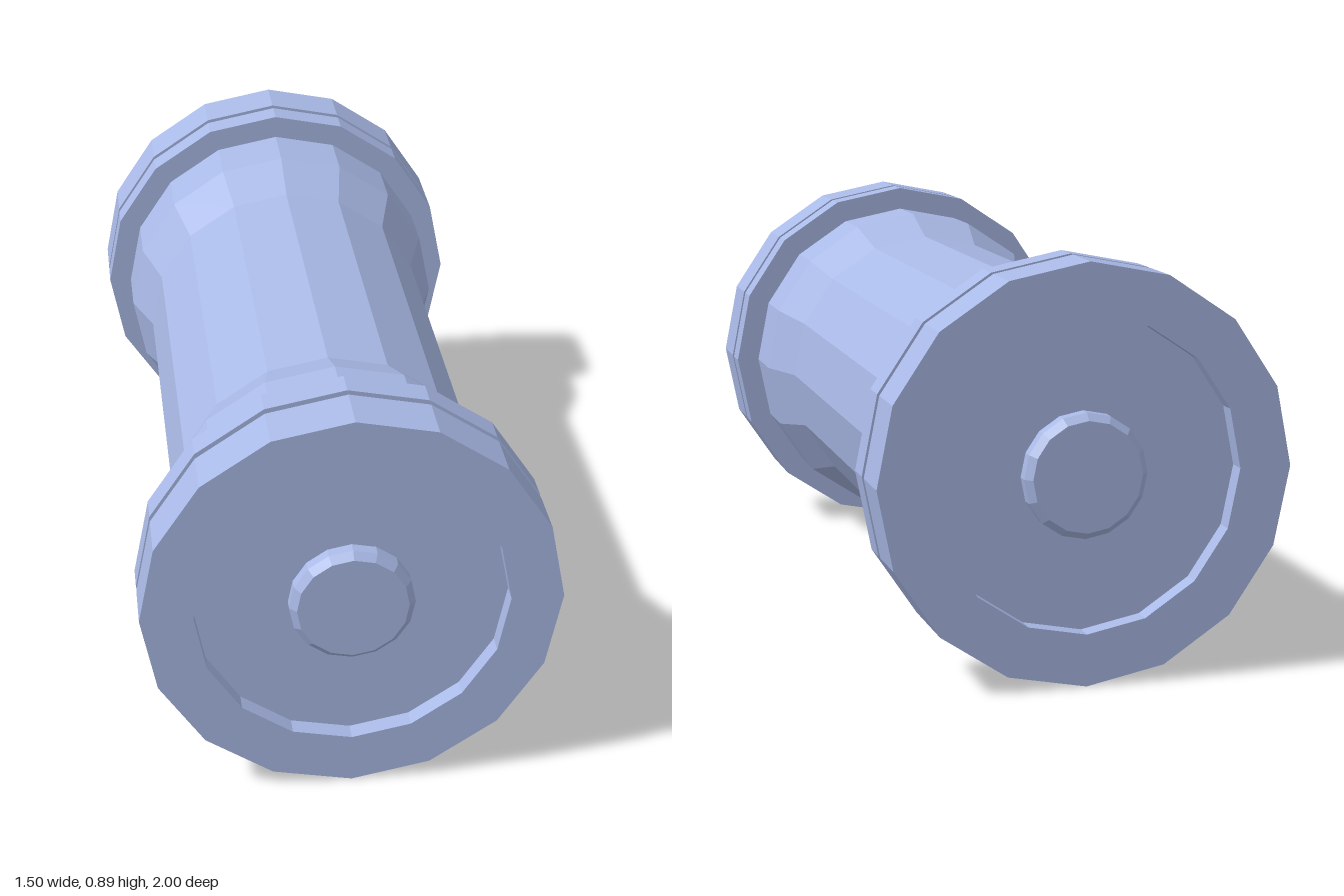
import * as THREE from 'three';

const SIDES = 16;
const RADIUS = 0.445; // end cap radius, also the axis height

export function createModel() {
  const model = new THREE.Group();
  model.name = 'canister';
  const material = new THREE.MeshStandardMaterial({ color: 0xa9b9e6, flatShading: true });

  // Turned part along z, from [radius, z] pairs running back to front
  const turned = (name, profile) => {
    const points = profile.map(([r, z]) => new THREE.Vector2(r, z));
    const geometry = new THREE.LatheGeometry(points, SIDES).rotateX(Math.PI / 2);
    const mesh = new THREE.Mesh(geometry, material);
    mesh.name = name;
    return mesh;
  };

  // Barrel flaring out toward both ends
  const flare = [[0.345, 0.435], [0.39, 0.56], [0.39, 0.72]];
  const back = flare.map(([r, z]) => [r, -z]).reverse();
  const barrel = turned('barrel', [...back, ...flare]);

  // One end: collar, groove, recessed cap and bevelled button
  const makeEnd = (name) => {
    const end = new THREE.Group();
    end.name = name;
    end.add(
      turned('collar', [[0.38, 0.703], [RADIUS, 0.703], [RADIUS, 0.765], [0.42, 0.765]]),
      turned('groove', [[0.425, 0.75], [0.425, 0.8]]),
      turned('cap', [
        [0.42, 0.783], [RADIUS, 0.783], [RADIUS, 0.897],
        [0.333, 0.897], [0.333, 0.857], [0, 0.857],
      ]),
      turned('button', [[0.133, 0.855], [0.133, 0.882], [0.118, 0.897], [0, 0.897]]),
    );
    return end;
  };
  const frontEnd = makeEnd('frontEnd');
  const backEnd = makeEnd('backEnd');
  backEnd.rotation.y = Math.PI;

  // Lies on its side, turned slightly about the vertical
  const body = new THREE.Group();
  body.name = 'body';
  body.add(barrel, frontEnd, backEnd);
  body.rotation.y = THREE.MathUtils.degToRad(-22.3);
  body.position.y = RADIUS;
  model.add(body);
  return model;
}
